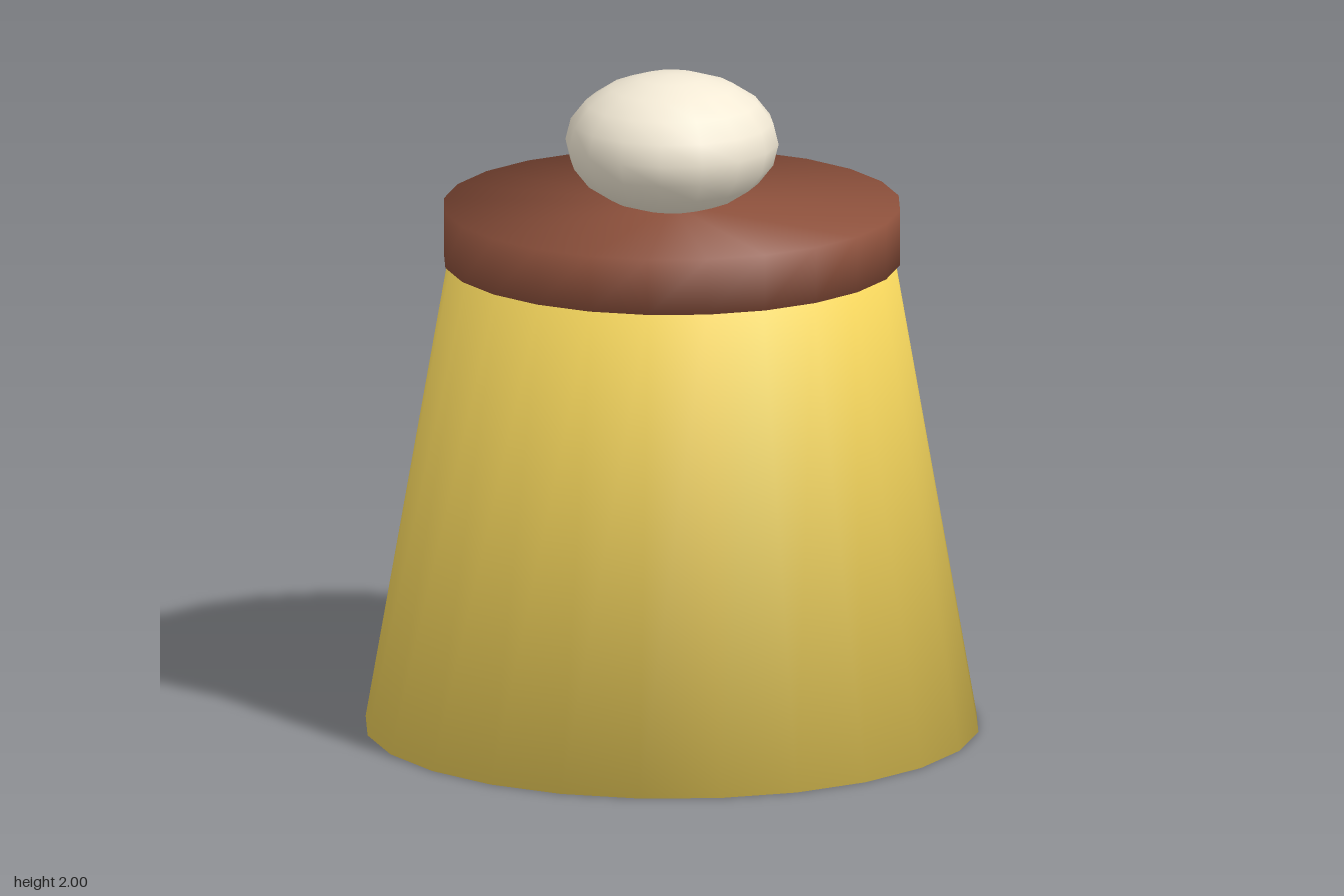
import * as THREE from 'three';
import { mergeVertices } from 'three/addons/utils/BufferGeometryUtils.js';

// Weld all seams and give each vertex the plain average of its face normals,
// so shading rolls softly over the rims.
function soften(geometry) {
  geometry.deleteAttribute('uv');
  geometry.deleteAttribute('normal');
  const g = mergeVertices(geometry, 1e-4);
  const pos = g.attributes.position;
  const sums = Array.from({ length: pos.count }, () => new THREE.Vector3());
  const tri = new THREE.Triangle();
  const n = new THREE.Vector3();
  for (let i = 0; i < g.index.count; i += 3) {
    const ids = [0, 1, 2].map((k) => g.index.getX(i + k));
    tri.setFromAttributeAndIndices(pos, ...ids);
    tri.getNormal(n);
    ids.forEach((id) => sums[id].add(n));
  }
  const normals = new Float32Array(pos.count * 3);
  sums.forEach((s, i) => s.normalize().toArray(normals, i * 3));
  g.setAttribute('normal', new THREE.BufferAttribute(normals, 3));
  return g;
}

export function createModel() {
  const model = new THREE.Group();
  const add = (name, geometry, color, y) => {
    const mesh = new THREE.Mesh(soften(geometry), new THREE.MeshStandardMaterial({ color }));
    mesh.name = name;
    mesh.position.y = y;
    model.add(mesh);
  };

  // Tapered body
  add('body', new THREE.CylinderGeometry(0.67, 0.92, 1.43, 24), 0xf2d35b, 0.715);
  // Flat lid, slightly wider than the body's top
  add('lid', new THREE.CylinderGeometry(0.685, 0.685, 0.17, 24), 0x8f523d, 1.515);
  // Squashed ball knob, sunk a little into the lid
  add('knob', new THREE.SphereGeometry(0.32, 16, 10).scale(1, 0.65, 1), 0xf3ead6, 1.792);

  return model;
}
